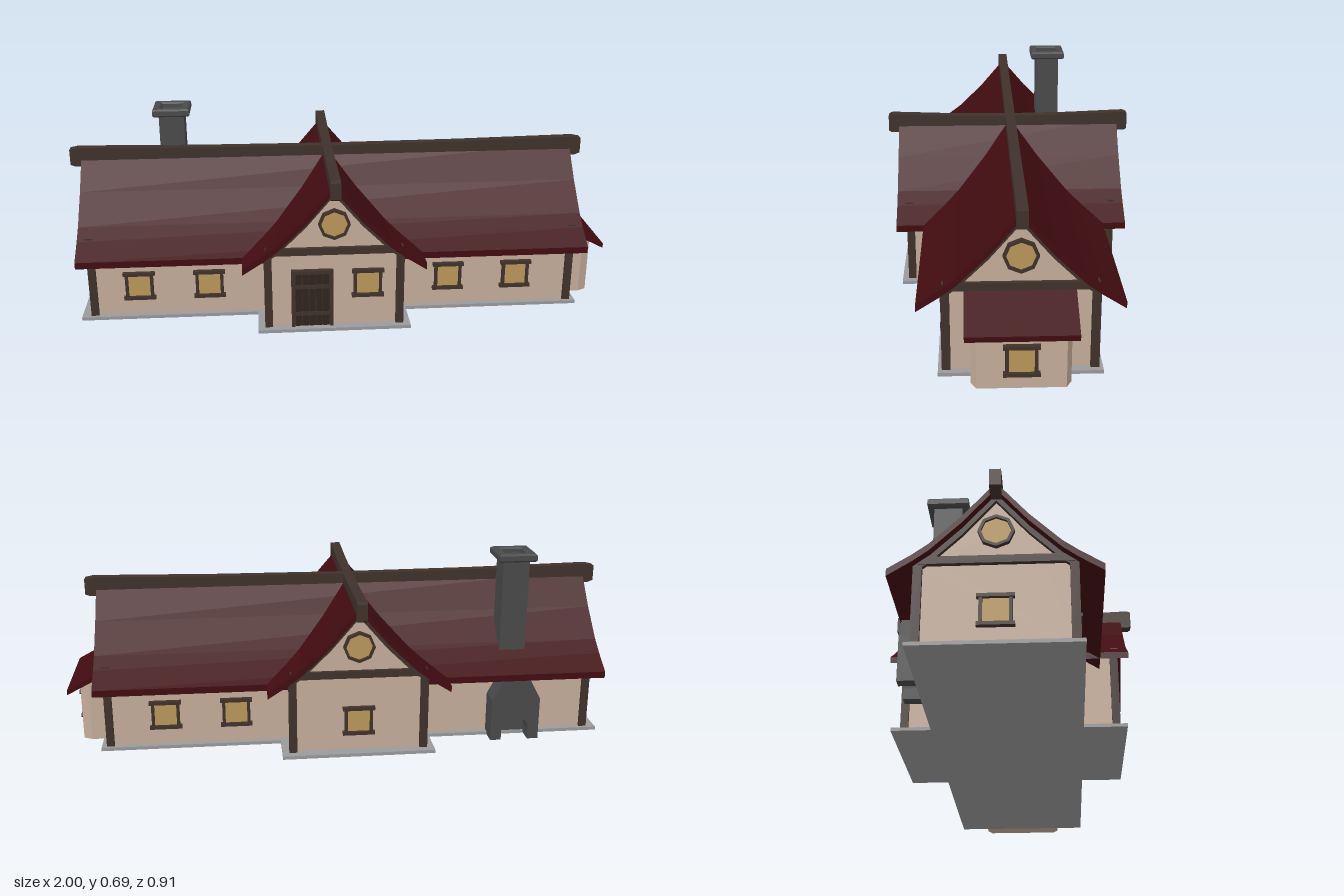
import * as THREE from 'three';

const mat = (name, color, side = THREE.FrontSide) => {
  const m = new THREE.MeshStandardMaterial({ color, side });
  m.name = name;
  return m;
};

export function createModel() {
  const plaster = mat('plaster', 0xc5ad9a);
  const timber = mat('timber', 0x3f312a);
  const roofRed = mat('roofRed', 0x410c10);
  const glass = mat('glass', 0xb9985a);
  const stone = mat('stone', 0x4a4a4a);
  const paving = mat('paving', 0x9a9a9c);
  const doorWood = mat('doorWood', 0x2f241d);

  const house = new THREE.Group();
  house.name = 'house';

  const add = (parent, name, geo, material, x = 0, y = 0, z = 0) => {
    const m = new THREE.Mesh(geo, material);
    m.name = name;
    m.position.set(x, y, z);
    parent.add(m);
    return m;
  };
  const box = (parent, name, material, w, h, d, x, y, z) =>
    add(parent, name, new THREE.BoxGeometry(w, h, d), material, x, y, z);
  const shapeOf = pts => new THREE.Shape(pts.map(p => new THREE.Vector2(p[0], p[1])));
  const extrude = (shape, depth) =>
    new THREE.ExtrudeGeometry(shape, { depth, bevelEnabled: false, curveSegments: 10 }).translate(0, 0, -depth / 2);
  const group = (parent, name, x, y, z, ry = 0) => {
    const g = new THREE.Group();
    g.name = name;
    g.position.set(x, y, z);
    g.rotation.y = ry;
    parent.add(g);
    return g;
  };

  // Underside of the flared roof, from ridge to eave
  const slope = [[0, 0.535], [0.1, 0.418], [0.2, 0.32], [0.25, 0.283], [0.325, 0.235]];
  const mirrored = pts => [...pts].reverse().map(([x, y]) => [-x, y]).concat(pts.slice(1));
  const band = (pts, low, high) => {
    const line = mirrored(pts);
    return shapeOf([...line.map(([x, y]) => [x, y + low]), ...line.reverse().map(([x, y]) => [x, y + high])]);
  };

  // Framed window facing +z
  const windowAt = (parent, x, y, z, ry = 0) => {
    const g = group(parent, 'window', x, y, z, ry);
    box(g, 'windowGlass', glass, 0.086, 0.085, 0.008, 0, 0, 0.002);
    for (const s of [-1, 1]) {
      box(g, 'windowSill', timber, 0.115, 0.012, 0.024, 0, s * 0.047, 0.006);
      box(g, 'windowJamb', timber, 0.011, 0.09, 0.018, s * 0.045, 0, 0.005);
    }
  };

  // Octagonal gable window facing +z
  const ring = (r, n = 8) => Array.from({ length: n }, (_, i) => {
    const a = Math.PI / 2 + i * 2 * Math.PI / n;
    return [r * Math.cos(a), r * Math.sin(a)];
  });
  const octagonAt = (parent, y, z) => {
    const g = group(parent, 'gableWindow', 0, y, z);
    add(g, 'gableGlass', extrude(shapeOf(ring(0.05)), 0.008), glass, 0, 0, 0.003);
    const frame = shapeOf(ring(0.057));
    frame.holes.push(shapeOf(ring(0.047)));
    add(g, 'gableWindowFrame', extrude(frame, 0.02), timber, 0, 0, 0.006);
  };

  // One gabled range running along local z
  const range = (name, x, z, ry, wall, roof, ridge) => {
    const g = group(house, name, x, 0, z, ry);
    add(g, 'walls', extrude(shapeOf([[-0.24, 0.005], [0.24, 0.005], [0.24, 0.292],
      [0.2, 0.322], [0.1, 0.42], [0, 0.537], [-0.1, 0.42], [-0.2, 0.322], [-0.24, 0.292]]), wall * 2), plaster);
    add(g, 'roof', extrude(band(slope, 0, 0.024), roof * 2), roofRed);

    // Sagging ridge beam with exposed ends
    const top = [[-1, 0.58], [-0.97, 0.586], [-0.5, 0.578], [0, 0.575], [0.5, 0.578], [0.97, 0.586], [1, 0.58]];
    const beam = shapeOf([[-ridge, 0.522], [-ridge * 0.98, 0.515], [ridge * 0.98, 0.515], [ridge, 0.522],
      ...top.reverse().map(([u, y]) => [u * ridge, y])]);
    add(g, 'ridgeBeam', extrude(beam, 0.036), timber).rotation.y = Math.PI / 2;

    for (const s of [-1, 1]) {
      const end = group(g, 'gableEnd', 0, 0, 0, s > 0 ? 0 : Math.PI);
      box(end, 'tieBeam', timber, 0.49, 0.026, 0.026, 0, 0.302, wall + 0.002);
      add(end, 'gableTrim', extrude(band(slope.slice(0, 4), -0.024, 0.002), 0.024), timber, 0, 0, wall + 0.002);
      octagonAt(end, 0.403, wall);
      for (const side of [-1, 1])
        box(end, 'cornerPost', timber, 0.028, 0.285, 0.028, side * 0.236, 0.15, wall);
    }
    return g;
  };
  range('mainRange', -0.035, -0.013, Math.PI / 2, 0.883, 0.925, 0.965);
  range('crossWing', -0.045, -0.005, 0, 0.368, 0.415, 0.453);

  // Paved base
  box(house, 'mainBase', paving, 1.845, 0.012, 0.525, -0.0425, 0.006, -0.013);
  box(house, 'wingBase', paving, 0.55, 0.012, 0.815, -0.045, 0.006, -0.008);

  // Windows along each wall
  for (const x of [-0.75, -0.495, 0.39, 0.645]) windowAt(house, x, 0.127, 0.227);
  for (const x of [0.39, 0.645]) windowAt(house, x, 0.127, -0.253, Math.PI);
  windowAt(house, 0.075, 0.175, 0.363);
  windowAt(house, -0.045, 0.125, -0.373, Math.PI);
  windowAt(house, -0.918, 0.13, -0.013, -Math.PI / 2);

  // Plank door
  const door = group(house, 'door', -0.124, 0.012, 0.365);
  box(door, 'doorBack', timber, 0.14, 0.215, 0.012, 0, 0.107, 0);
  for (let i = -2; i <= 2; i++)
    box(door, 'doorPlank', doorWood, 0.022, 0.205, 0.012, i * 0.0245, 0.103, 0.004);
  for (const y of [0.05, 0.155]) box(door, 'doorBatten', timber, 0.12, 0.014, 0.012, 0, y, 0.008);
  for (const s of [-1, 1]) box(door, 'doorJamb', timber, 0.012, 0.215, 0.024, s * 0.069, 0.107, 0.004);
  box(door, 'doorLintel', timber, 0.15, 0.013, 0.026, 0, 0.212, 0.005);

  // Side bay with chamfered corners and a lean-to roof
  const bay = group(house, 'sideBay', 0, 0, -0.011);
  const plan = shapeOf([[0.83, -0.157], [0.925, -0.157], [0.957, -0.14], [0.957, 0.14], [0.925, 0.157], [0.83, 0.157]]);
  const bayWalls = new THREE.ExtrudeGeometry(plan, { depth: 1, bevelEnabled: false }).rotateX(-Math.PI / 2);
  const p = bayWalls.attributes.position;
  for (let i = 0; i < p.count; i++)
    p.setY(i, p.getY(i) > 0.5 ? 0.268 - (p.getX(i) - 0.85) * 0.51 : 0.002);
  bayWalls.computeVertexNormals();
  add(bay, 'bayWalls', bayWalls, plaster);
  add(bay, 'bayRoof', extrude(shapeOf([[0.83, 0.275], [1, 0.188], [1, 0.206], [0.83, 0.298]]), 0.35), roofRed);
  windowAt(bay, 0.957, 0.103, 0, Math.PI / 2);

  // Chimney stack with hollow cap
  const chimney = group(house, 'chimney', -0.633, 0, -0.193);
  box(chimney, 'chimneyStack', stone, 0.096, 0.47, 0.096, 0, 0.435, 0);
  const square = r => [[-r, -r], [r, -r], [r, r], [-r, r]];
  const cap = shapeOf(square(0.064));
  cap.holes.push(shapeOf(square(0.045)));
  const capGeo = new THREE.ExtrudeGeometry(cap, {
    depth: 0.018, bevelEnabled: true, bevelSize: 0.006, bevelThickness: 0.006, bevelSegments: 1
  }).rotateX(-Math.PI / 2);
  add(chimney, 'chimneyCap', capGeo, stone, 0, 0.666, 0);

  // Outdoor hearth with arched opening at the chimney foot
  const hearth = shapeOf([[-0.09, 0.002], [-0.05, 0.002], [-0.05, 0.04]]);
  hearth.absarc(0, 0.04, 0.05, Math.PI, 0, true);
  for (const [x, y] of [[0.05, 0.002], [0.09, 0.002], [0.09, 0.16], [0.05, 0.235], [-0.05, 0.235], [-0.09, 0.16]])
    hearth.lineTo(x, y);
  add(house, 'hearth', extrude(hearth, 0.09), stone, -0.633, 0, -0.287);
  box(house, 'hearthBack', stone, 0.11, 0.1, 0.02, -0.633, 0.055, -0.26);

  return house;
}
